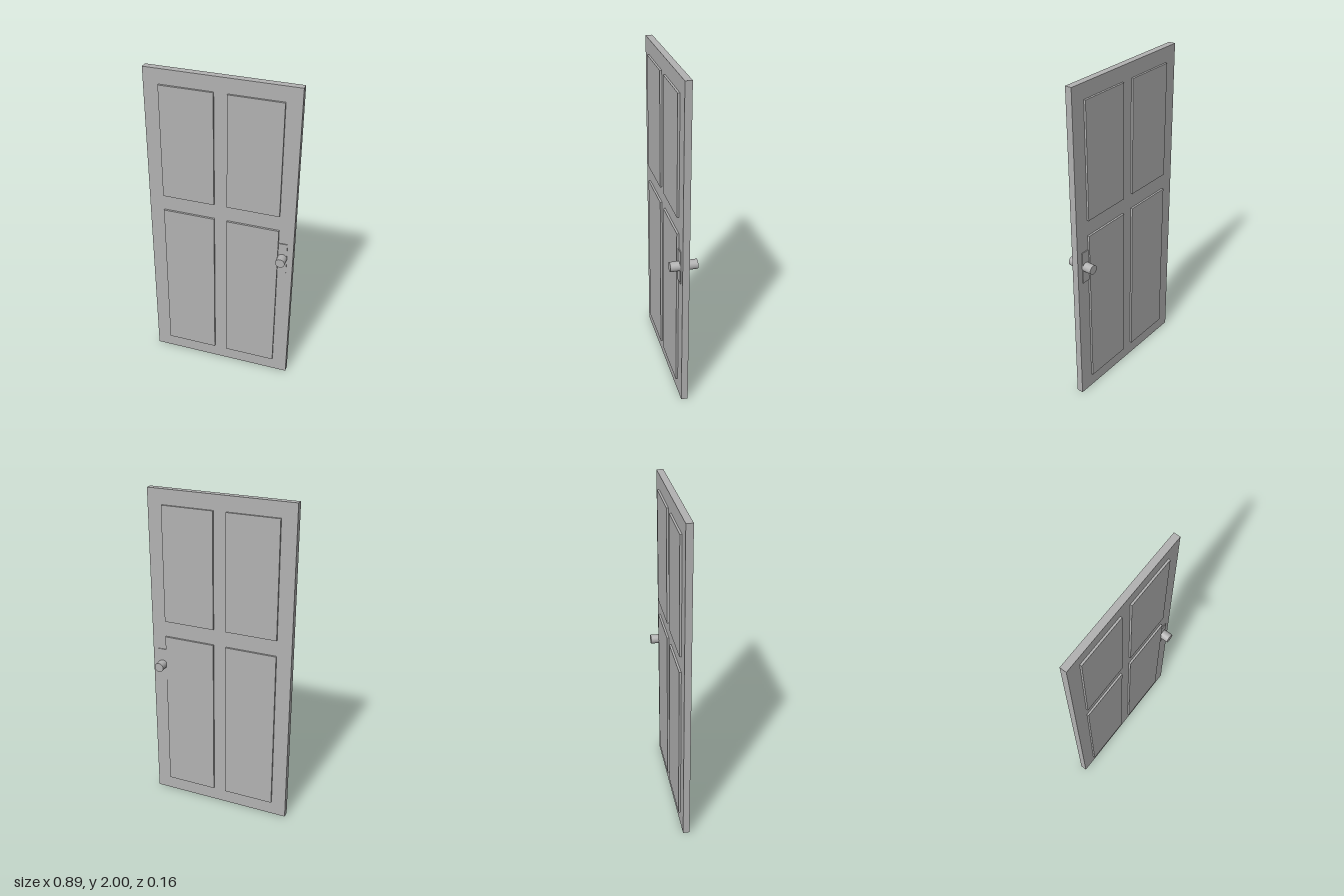
import * as THREE from 'three';

const paint = new THREE.MeshStandardMaterial({ color: 0xb2b2b2 });
paint.name = 'grey';

// Box spanning x0..x1 and y0..y1, between depths z0 and z1
function slab(name, x0, x1, y0, y1, z0, z1) {
  const mesh = new THREE.Mesh(new THREE.BoxGeometry(x1 - x0, y1 - y0, z1 - z0), paint);
  mesh.position.set((x0 + x1) / 2, (y0 + y1) / 2, (z0 + z1) / 2);
  mesh.name = name;
  return mesh;
}

// Raised panels, lock plate and knob for one side of the door
function createFace(name) {
  const face = new THREE.Group();
  face.name = name;

  for (const [row, y0, y1] of [['upper', 1.205, 1.91], ['lower', 0.088, 1.105]]) {
    face.add(slab(row + 'LeftPanel', 0.039, 0.354, y0, y1, 0.015, 0.032));
    face.add(slab(row + 'RightPanel', -0.354, -0.039, y0, y1, 0.015, 0.032));
  }

  face.add(slab('lockPlate', 0.355, 0.408, 0.812, 1.016, 0.015, 0.025));

  const knob = new THREE.Mesh(new THREE.CylinderGeometry(0.0285, 0.0285, 0.06, 24), paint);
  knob.rotation.x = Math.PI / 2;
  knob.position.set(0.381, 0.914, 0.05);
  knob.name = 'knob';
  face.add(knob);
  return face;
}

export function createModel() {
  const door = new THREE.Group();
  door.name = 'door';
  door.add(slab('doorLeaf', -0.444, 0.444, 0, 2, -0.02, 0.02));
  door.add(createFace('frontFace'));

  // Back side: mirrored in z so the knobs line up
  const back = createFace('backFace');
  back.scale.z = -1;
  door.add(back);
  return door;
}
